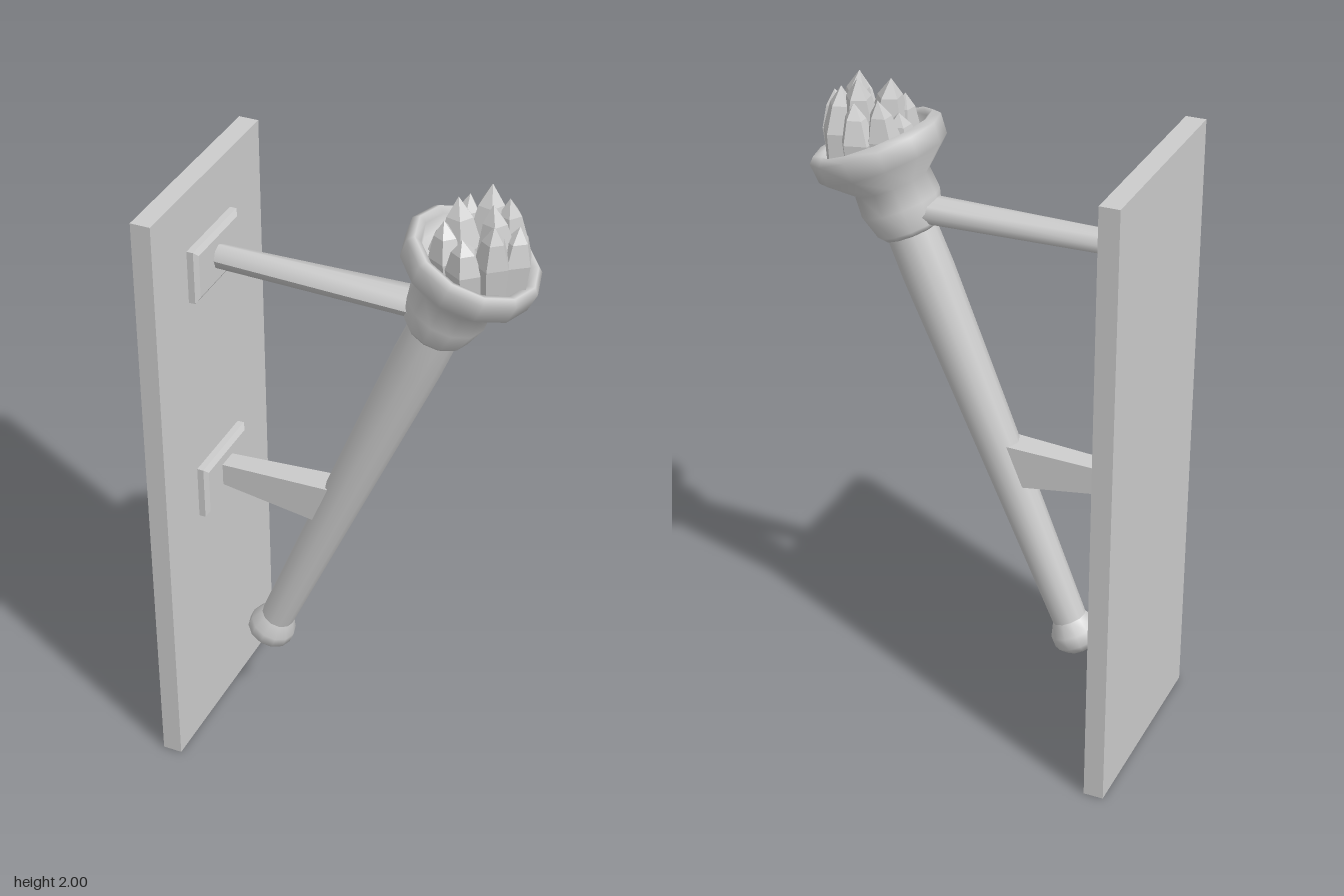
import * as THREE from 'three';

const smooth = new THREE.MeshStandardMaterial({ color: 0xcccccc, side: THREE.DoubleSide });
const faceted = new THREE.MeshStandardMaterial({ color: 0xcccccc, flatShading: true });

function add(parent, name, geometry, material = faceted) {
  const mesh = new THREE.Mesh(geometry, material);
  mesh.name = name;
  parent.add(mesh);
  return mesh;
}

function lathe(points, sides) {
  return new THREE.LatheGeometry(points.map(([r, y]) => new THREE.Vector2(r, y)), sides);
}

// Box along x whose two ends have their own y range and half depth
function taperedBox(x0, [low0, high0, depth0], x1, [low1, high1, depth1]) {
  const geometry = new THREE.BoxGeometry(1, 1, 1);
  const p = geometry.attributes.position;
  for (let i = 0; i < p.count; i++) {
    const end = p.getX(i) > 0;
    const up = p.getY(i) > 0;
    const y = end ? (up ? high1 : low1) : (up ? high0 : low0);
    p.setXYZ(i, end ? x1 : x0, y, Math.sign(p.getZ(i)) * (end ? depth1 : depth0));
  }
  geometry.computeVertexNormals();
  return geometry;
}

export function createModel() {
  const model = new THREE.Group();
  model.name = 'wallTorch';

  // Wall board
  add(model, 'wallBoard', new THREE.BoxGeometry(0.06, 1.88, 0.66)).position.set(-0.495, 0.94, 0);

  // Mounting plates with bevelled fronts
  for (const [name, low, high] of [['upperPlate', 1.535, 1.7], ['lowerPlate', 0.79, 0.96]]) {
    add(model, name, taperedBox(-0.466, [low, high, 0.135], -0.445, [low, high, 0.135]));
    add(model, name + 'Bevel', taperedBox(-0.445, [low, high, 0.135], -0.435, [low + 0.015, high - 0.015, 0.12]));
  }

  // Upper arm, round and widening in depth towards the cup
  const arm = new THREE.CylinderGeometry(1, 1, 0.63, 8, 1);
  arm.rotateZ(-Math.PI / 2);
  const p = arm.attributes.position;
  for (let i = 0; i < p.count; i++) {
    const width = p.getX(i) > 0 ? 0.062 : 0.034;
    p.setXYZ(i, p.getX(i) - 0.125, 1.62 + p.getY(i) * 0.037, p.getZ(i) * width);
  }
  arm.computeVertexNormals();
  add(model, 'upperArm', arm, smooth);

  // Lower arm, deepening towards the shaft
  add(model, 'lowerArm', taperedBox(-0.44, [0.845, 0.915, 0.032], -0.09, [0.8, 0.932, 0.042]));

  // Tilted torch: end knob, shaft and cup share one axis
  const torch = new THREE.Group();
  torch.name = 'torch';
  torch.position.set(-0.32, 0.272, 0);
  torch.rotation.z = -THREE.MathUtils.degToRad(23);
  model.add(torch);

  add(torch, 'endKnob', lathe([[0, 0], [0.048, 0.004], [0.072, 0.03], [0.072, 0.065], [0.052, 0.105]], 12), smooth);
  add(torch, 'shaft', lathe([[0.051, 0.08], [0.064, 0.7], [0.076, 1.25], [0.074, 1.4]], 12), smooth);
  add(torch, 'cup', lathe([
    [0, 1.375], [0.085, 1.385], [0.098, 1.4], [0.118, 1.47], [0.113, 1.535],
    [0.192, 1.605], [0.197, 1.665], [0.18, 1.682], [0.158, 1.672], [0.143, 1.625], [0, 1.6],
  ], 12), smooth);

  // Flame of pointed shards: angle, distance from centre, tip height, width
  const flame = new THREE.Group();
  flame.name = 'flame';
  flame.position.set(0.345, 0, 0);
  model.add(flame);
  const shards = [
    [0.1, 0.095, 1.93, 0.055], [0.85, 0.092, 1.96, 0.052], [1.6, 0.088, 1.91, 0.055],
    [2.35, 0.09, 1.93, 0.052], [3.1, 0.09, 1.9, 0.055], [3.8, 0.09, 1.95, 0.052],
    [4.6, 0.088, 1.94, 0.055], [5.4, 0.09, 1.97, 0.054],
    [0.3, 0.06, 1.99, 0.055], [2.6, 0.05, 1.985, 0.06], [4.9, 0.04, 2.0, 0.06],
  ];
  shards.forEach(([angle, distance, tip, width], i) => {
    const base = 1.72;
    const h = tip - base;
    const geometry = lathe([[0, 0], [width * 0.8, 0], [width, h * 0.5], [width * 0.62, h * 0.8], [0, h]], 5);
    // Lean each tip slightly off its own axis
    const q = geometry.attributes.position;
    for (let k = 0; k < q.count; k++) {
      const lean = (q.getY(k) / h) ** 2 * 0.018;
      q.setX(k, q.getX(k) + lean * Math.cos(i * 2.4));
      q.setZ(k, q.getZ(k) + lean * Math.sin(i * 2.4));
    }
    geometry.rotateY(i * 1.3);
    add(flame, 'flameShard', geometry).position.set(Math.cos(angle) * distance, base, Math.sin(angle) * distance);
  });

  return model;
}
